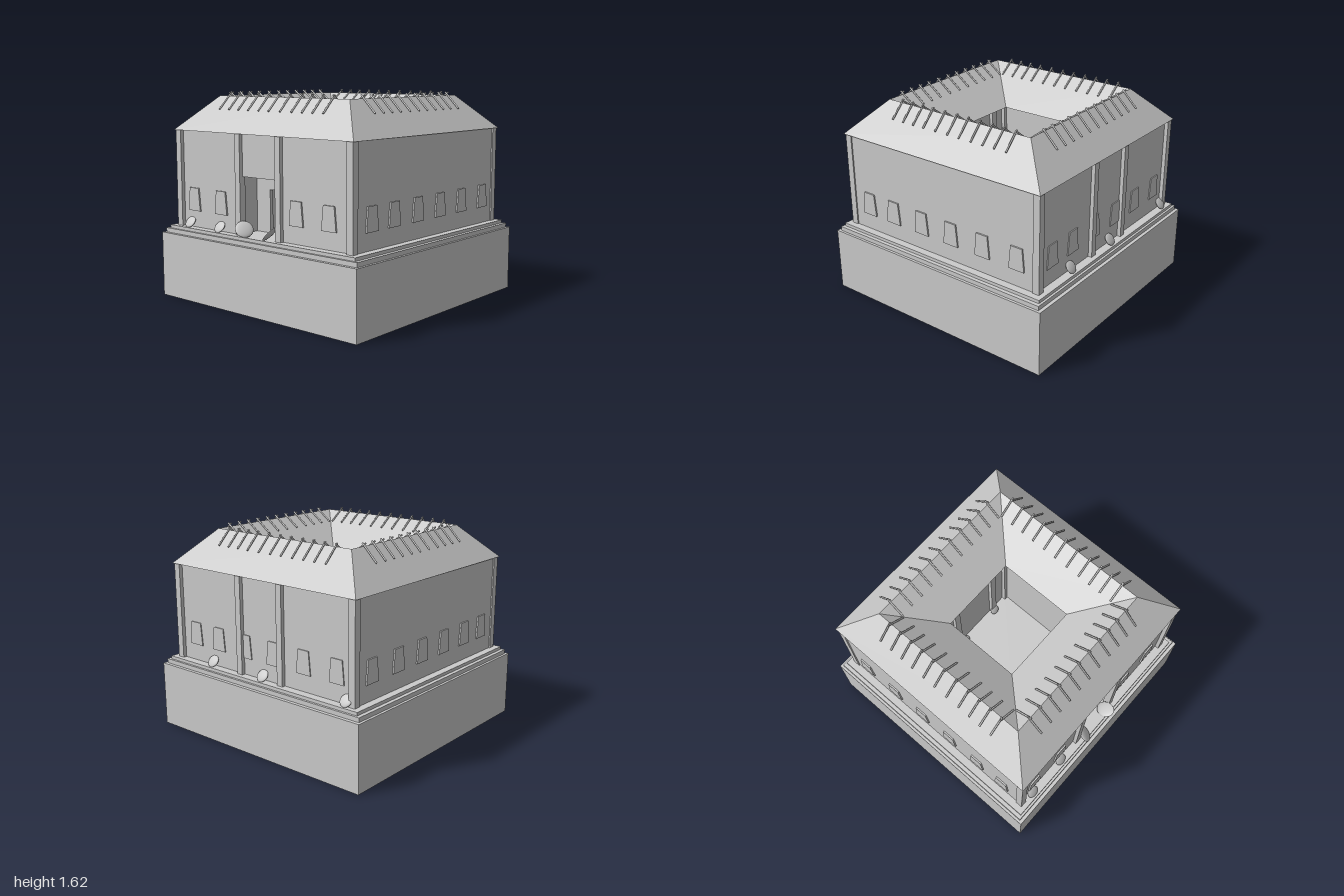
import * as THREE from 'three';

const mat = new THREE.MeshStandardMaterial({ color: 0xcccccc, side: THREE.DoubleSide });

function add(parent, name, geo, x = 0, y = 0, z = 0) {
  const m = new THREE.Mesh(geo, mat);
  m.name = name;
  m.position.set(x, y, z);
  parent.add(m);
  return m;
}

const box = (w, h, d) => new THREE.BoxGeometry(w, h, d);

// polygon from [x, y] pairs
const poly = pts => new THREE.Shape(pts.map(p => new THREE.Vector2(...p)));

// upright sheets along a closed floor outline of [x, -z] pairs
function ribbon(parent, name, pts, y, h) {
  pts.forEach(([x0, y0], i) => {
    const [x1, y1] = pts[(i + 1) % pts.length];
    const geo = new THREE.PlaneGeometry(Math.hypot(x1 - x0, y1 - y0), h);
    const m = add(parent, name, geo, (x0 + x1) / 2, y + h / 2, -(y0 + y1) / 2);
    m.rotation.y = Math.atan2(y1 - y0, x1 - x0);
  });
}

// closed hip roof ring lofted through rectangles [halfX, halfZ, y]
function roofGeometry(rings) {
  const signs = [[-1, 1], [1, 1], [1, -1], [-1, -1]];
  const at = (r, c) => {
    const [w, d, y] = rings[r % rings.length], [sx, sz] = signs[c % 4];
    return [w * sx, y, d * sz];
  };
  const pos = [];
  for (let r = 0; r < rings.length; r++) {
    for (let c = 0; c < 4; c++) {
      const a = at(r, c), b = at(r, c + 1), e = at(r + 1, c + 1), f = at(r + 1, c);
      pos.push(...a, ...b, ...e, ...a, ...e, ...f);
    }
  }
  const g = new THREE.BufferGeometry();
  g.setAttribute('position', new THREE.Float32BufferAttribute(pos, 3));
  g.computeVertexNormals();
  return g;
}

// rod between two points
function rod(parent, a, b) {
  const p = new THREE.Vector3(...a), q = new THREE.Vector3(...b);
  const dir = q.clone().sub(p);
  const m = add(parent, 'roofPole', new THREE.CylinderGeometry(0.007, 0.007, dir.length(), 6));
  m.position.copy(p).add(q).multiplyScalar(0.5);
  m.quaternion.setFromUnitVectors(new THREE.Vector3(0, 1, 0), dir.normalize());
}

// round shield, flattened along its facing direction; a dish keeps only the back half
function shield(parent, pos, normal, r, dish = false) {
  const start = dish ? Math.PI / 2 : 0;
  const g = new THREE.SphereGeometry(r, 24, 12, 0, Math.PI * 2, start, Math.PI - start);
  g.scale(1, 0.25, 1);
  const m = add(parent, 'shield', g, ...pos);
  m.quaternion.setFromUnitVectors(new THREE.Vector3(0, 1, 0), new THREE.Vector3(...normal).normalize());
}

export function createModel() {
  const model = new THREE.Group();
  model.name = 'courtyardHouse';

  // Open-bottomed base, two steps
  ribbon(model, 'base', [[-1, -0.997], [1, -0.997], [1, 0.997], [-1, 0.997]], 0, 0.51);
  add(model, 'baseTop', box(2, 0.01, 1.994), 0, 0.506);
  add(model, 'lowerStep', box(1.96, 0.035, 1.94), 0, 0.5275);
  add(model, 'floor', box(1.9, 0.025, 1.905), 0, 0.5575);

  // Floor plan with the courtyard and entrance passage cut out
  const W = 0.89, D = 0.885, C = 0.37, P = 0.23;
  const plan = [
    [-W, -D], [-P, -D], [-P, -C], [-C, -C], [-C, C], [C, C],
    [C, -C], [P, -C], [P, -D], [W, -D], [W, D], [-W, D],
  ];
  ribbon(model, 'foundationWall', plan, 0.37, 0.135);
  const walls = new THREE.ExtrudeGeometry(poly(plan), { depth: 0.76, bevelEnabled: false });
  add(model, 'walls', walls.rotateX(-Math.PI / 2), 0, 0.57);
  add(model, 'passageLintel', box(2 * P, 0.32, D - C), 0, 1.17, (D + C) / 2);

  // Inner doorway across the passage
  const door = poly([[-P, 0], [-0.09, 0], [-0.09, 0.33], [0.09, 0.33], [0.09, 0], [P, 0], [P, 0.44], [-P, 0.44]]);
  add(model, 'innerDoorway', new THREE.ExtrudeGeometry(door, { depth: 0.03, bevelEnabled: false }), 0, 0.57, 0.66);

  // Columns and pilasters, outside and around the courtyard
  for (const sx of [-1, 1]) {
    for (const sz of [-1, 1]) {
      add(model, 'cornerColumn', box(0.055, 0.76, 0.055), sx * 0.8725, 0.95, sz * 0.8875);
      add(model, 'pilaster', box(0.052, 0.76, 0.055), sx * 0.206, 0.95, sz * 0.8875);
      add(model, 'courtyardColumn', box(0.05, 0.76, 0.05), sx * 0.365, 0.95, sz * 0.365);
      add(model, 'courtyardPilaster', box(0.052, 0.76, 0.05), sx * 0.206, 0.95, sz * 0.365);
    }
  }

  // Tapered windows
  const pane = new THREE.ExtrudeGeometry(
    poly([[-0.067, 0], [0.067, 0], [0.05, 0.18], [-0.05, 0.18]]),
    { depth: 0.03, bevelEnabled: false }).translate(0, 0.7, -0.018);
  const row = [0.704, 0.45, 0.165, -0.122, -0.415, -0.72];
  for (const x of [-0.72, -0.415, 0.365, 0.67]) add(model, 'frontWindow', pane, x, 0, D);
  for (const t of row) {
    add(model, 'backWindow', pane, t, 0, -D + 0.004).rotation.y = Math.PI;
    for (const s of [-1, 1]) add(model, 'sideWindow', pane, s * W, 0, t).rotation.y = s * Math.PI / 2;
  }

  // Roof sloping outwards and towards the courtyard
  add(model, 'roof', roofGeometry([[0.912, 0.925, 1.327], [0.66, 0.66, 1.592], [0.313, 0.303, 1.33]]));

  // Crossed poles along the four ridges
  const poleSpots = [-0.54, -0.435, -0.333, -0.228, -0.118, -0.012, 0.102, 0.217, 0.318, 0.418, 0.52];
  for (let side = 0; side < 4; side++) {
    const g = new THREE.Group();
    g.name = 'ridgePoles';
    g.rotation.y = side * Math.PI / 2;
    g.position.set(side === 3 ? -0.012 : 0, 0, side === 2 ? -0.012 : 0);
    for (const t of poleSpots) {
      const x = side === 0 || side === 3 ? t : -t;
      rod(g, [x - 0.003, 1.492, 0.775], [x - 0.003, 1.618, 0.65]);
      rod(g, [x + 0.003, 1.515, 0.538], [x + 0.003, 1.618, 0.675]);
    }
    model.add(g);
  }

  // Shields leaning on the outer walls
  for (const x of [-0.757, -0.417]) shield(model, [x, 0.608, 0.908], [0, 0.6, 0.8], 0.05);
  shield(model, [-0.135, 0.625, 0.92], [0.65, 0.6, 0.4], 0.07);
  shield(model, [0.13, 0.625, 0.92], [-0.7, 0.7, 0.25], 0.07, true);
  for (const x of [-0.82, -0.03, 0.5]) shield(model, [x, 0.61, -0.91], [0, 0.6, -0.8], 0.05);

  // Shields in the courtyard
  for (const z of [-0.23, 0.19]) shield(model, [-0.343, 0.61, z], [0.8, 0.6, 0], 0.04);
  for (const x of [-0.16, 0.2]) shield(model, [x, 0.61, -0.333], [0, 0.6, 0.8], 0.04);
  for (const x of [-0.15, 0.14]) shield(model, [x, 0.61, 0.333], [0, 0.6, -0.8], 0.04);

  return model;
}
